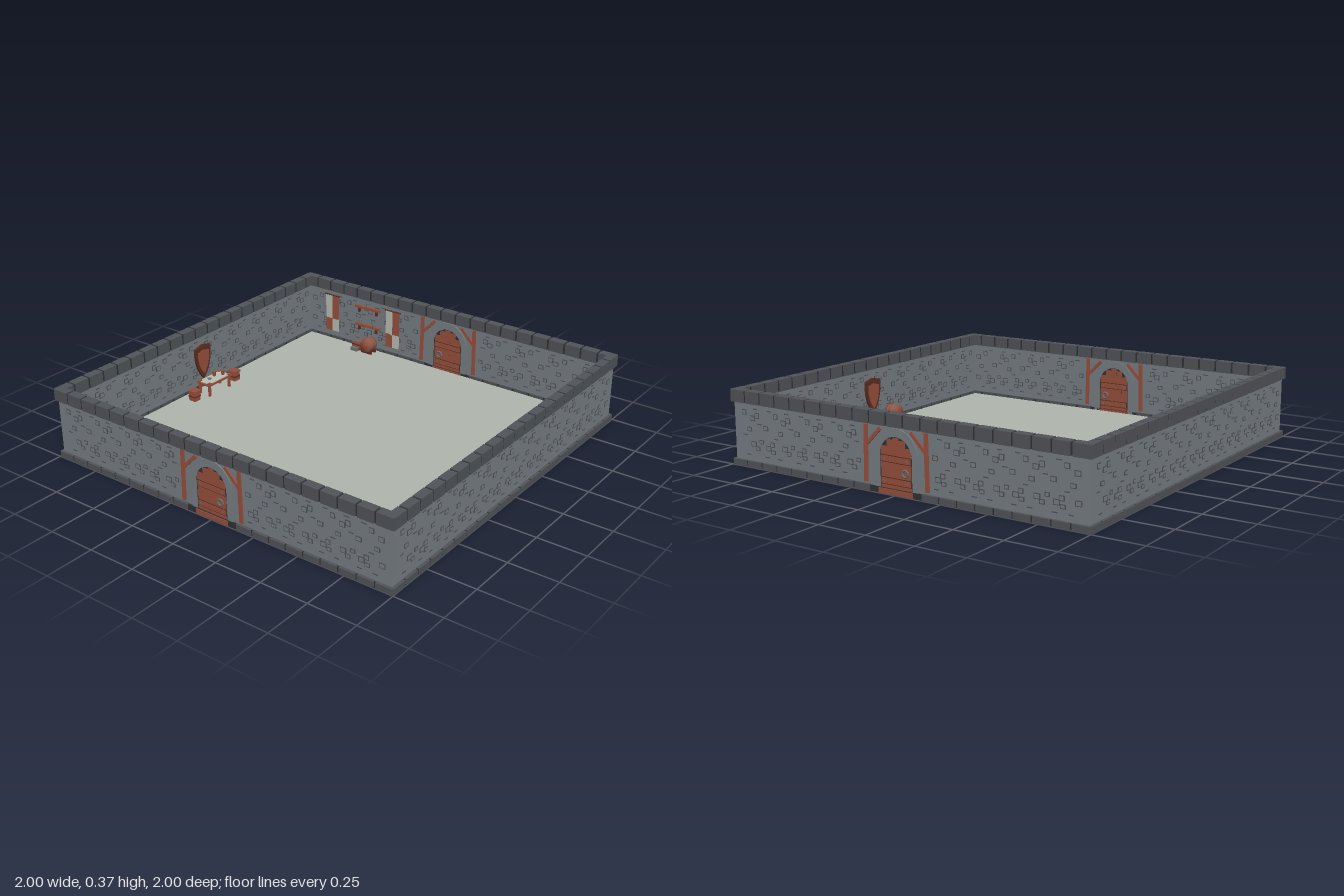
import * as THREE from 'three';
import { mergeGeometries } from 'three/addons/utils/BufferGeometryUtils.js';

const mat = (name, color) => {
  const m = new THREE.MeshStandardMaterial({ color });
  m.name = name;
  return m;
};
const M = {
  wall: mat('wallStone', 0x777e83),
  trim: mat('trimStone', 0x515458),
  joint: mat('darkJoint', 0x2f3235),
  floor: mat('floorStone', 0xb0b7ae),
  wood: mat('redWood', 0x98503c),
  darkWood: mat('darkWood', 0x5c2e22),
  cloth: mat('paleCloth', 0xb9bfb2),
  iron: mat('iron', 0x6a7175),
};

// Box geometry given by its centre, with an optional turn about z
function box(w, h, d, x, y, z, turn = 0) {
  return new THREE.BoxGeometry(w, h, d).rotateZ(turn).translate(x, y, z);
}
// One named mesh from a list of geometries
function part(parent, name, material, geos) {
  const mesh = new THREE.Mesh(geos.length > 1 ? mergeGeometries(geos) : geos[0], material);
  mesh.name = name;
  parent.add(mesh);
  return mesh;
}
function group(parent, name, x = 0, y = 0, z = 0, turn = 0) {
  const g = new THREE.Group();
  g.name = name;
  g.position.set(x, y, z);
  g.rotation.y = turn;
  parent.add(g);
  return g;
}

// Arched outline standing on y = bottom
function archPath(P, half, spring, bottom) {
  const p = new P();
  p.moveTo(-half, bottom);
  p.lineTo(half, bottom);
  p.lineTo(half, spring);
  p.absarc(0, spring, half, 0, Math.PI, false);
  p.lineTo(-half, bottom);
  return p;
}
const extrude = (shape, z0, z1) =>
  new THREE.ExtrudeGeometry(shape, { depth: z1 - z0, bevelEnabled: false, curveSegments: 10 }).translate(0, 0, z0);

// Wall with its outside towards +z
function buildWall(root, name, turn, hasDoor) {
  const g = group(root, name, 0, 0, 0, turn);
  part(g, 'wallBody', M.wall, [box(1.97, 0.34, 0.021, 0, 0.18, 0.9745)]);
  part(g, 'trimJoints', M.joint, [
    box(1.988, 0.055, 0.04, 0, 0.34, 0.9755),
    box(1.988, 0.026, 0.036, 0, 0.014, 0.976),
  ]);
  const blocks = [], count = 21, step = 2 / count;
  for (let i = 0; i < count; i++) {
    const x = -1 + (i + 0.5) * step;
    blocks.push(box(step - 0.011, 0.06, 0.046, x, 0.34, 0.977));
    if (!hasDoor || Math.abs(x) > 0.13) blocks.push(box(step - 0.011, 0.03, 0.043, x, 0.015, 0.9785));
  }
  part(g, 'trimBlocks', M.trim, blocks);

  // Scattered raised bricks: x, y, width, height within each panel
  const pattern = [
    [-0.07, 0.105, 0.032, 0.026], [-0.045, 0.125, 0.026, 0.024], [-0.04, 0.09, 0.026, 0.02],
    [0.035, 0.115, 0.032, 0.026], [0.06, 0.095, 0.026, 0.022], [0.085, 0.13, 0.024, 0.02],
    [-0.085, 0.2, 0.03, 0.024], [-0.02, 0.265, 0.026, 0.026], [0.03, 0.24, 0.03, 0.026],
    [0.06, 0.255, 0.026, 0.028], [0.01, 0.185, 0.028, 0.022],
  ];
  const dashes = [[-0.06, 0.285], [0.0, 0.06], [0.075, 0.215], [-0.02, 0.155], [0.05, 0.285], [-0.08, 0.06]];
  const edges = [], faces = [];
  for (let i = 0; i < 10; i++) {
    const cx = -0.9 + i * 0.2;
    const free = (x) => Math.abs(x) < 0.94 && (!hasDoor || Math.abs(x) > 0.2);
    for (const [z, out] of [[0.985, 1], [0.964, -1]]) {
      for (const [px, y, w, h] of pattern) {
        if (!free(cx + px)) continue;
        edges.push(box(w, h, 0.006, cx + px, y, z));
        faces.push(box(w - 0.008, h - 0.008, 0.006, cx + px, y, z + out * 0.001));
      }
      for (const [px, y] of dashes) if (free(cx + px)) edges.push(box(0.026, 0.005, 0.004, cx + px, y, z));
    }
  }
  part(g, 'brickEdges', M.trim, edges);
  part(g, 'brickFaces', M.wall, faces);
  if (hasDoor) buildDoor(g);
}

// Arched door seen on both faces of the wall
function buildDoor(parent) {
  const g = group(parent, 'door');
  const ring = archPath(THREE.Shape, 0.122, 0.182, 0.0);
  ring.holes.push(archPath(THREE.Path, 0.09, 0.175, 0.003));
  part(g, 'stoneArch', M.wall, [extrude(ring, 0.958, 0.99)]);
  part(g, 'doorRecess', M.joint, [extrude(archPath(THREE.Shape, 0.09, 0.175, 0.002), 0.962, 0.9865)]);
  const planks = [], bars = [], shadows = [], studs = [];
  for (let i = -2; i <= 2; i++) {
    const top = 0.175 + Math.sqrt(0.09 ** 2 - (Math.abs(i) * 0.034 + 0.008) ** 2) - 0.004;
    planks.push(box(0.033, top - 0.01, 0.0275, i * 0.034, top / 2 + 0.005, 0.9745));
  }
  for (const y of [0.06, 0.162]) {
    bars.push(box(0.164, 0.026, 0.034, 0, y, 0.9745));
    shadows.push(box(0.17, 0.034, 0.03, 0, y, 0.9745));
    for (const x of [-0.065, 0.065]) studs.push(box(0.008, 0.008, 0.036, x, y, 0.9745));
  }
  bars.push(box(0.19, 0.024, 0.042, 0, 0.013, 0.9775));
  for (const s of [-1, 1]) {
    bars.push(box(0.02, 0.265, 0.036, s * 0.17, 0.172, 0.9745, s * 0.02));
    bars.push(box(0.115, 0.016, 0.034, s * 0.125, 0.255, 0.9745, -s * 0.8));
  }
  part(g, 'planks', M.wood, planks);
  part(g, 'barEdges', M.darkWood, shadows);
  part(g, 'barsAndPosts', M.wood, bars);
  part(g, 'studs', M.iron, studs);
  part(g, 'handles', M.iron, [0.99, 0.959].map((z) =>
    new THREE.TorusGeometry(0.016, 0.005, 6, 12).translate(0.052, 0.105, z)));
}

// Octagon tiles with small diamonds between, over a slab
function buildFloor(root) {
  const g = group(root, 'floor');
  part(g, 'slab', M.floor, [box(1.96, 0.011, 1.96, 0, 0.0075, 0)]);
  const nx = 18, nz = 17, sx = 1.92 / nx, sz = 1.92 / nz, tiles = [], strips = [];
  for (let i = 0; i <= nx; i++) for (let j = 0; j <= nz; j++) {
    const x = -0.96 + i * sx, z = -0.96 + j * sz;
    tiles.push(new THREE.CircleGeometry(0.275, 4).rotateX(-Math.PI / 2).scale(sx, 1, sz).translate(x, 0.0145, z));
    if (i < nx && j < nz) tiles.push(new THREE.CircleGeometry(0.523, 8, Math.PI / 8).rotateX(-Math.PI / 2)
      .scale(sx, 1, sz).translate(x + sx / 2, 0.0145, z + sz / 2));
  }
  part(g, 'tiles', M.floor, tiles);
  for (let i = -4; i <= 4; i++) {
    strips.push(box(0.014, 0.003, 1.95, i * 0.2, 0.0015, 0), box(1.95, 0.003, 0.014, 0, 0.0015, i * 0.2));
  }
  part(g, 'undersideStrips', M.floor, strips);
}

// Barrel lying on a cradle, its end towards +z
function buildBarrel(parent, x, z, turn) {
  const g = group(parent, 'barrel', x, 0.014, z, turn);
  const profile = [[0, -0.04], [0.034, -0.04], [0.041, -0.018], [0.043, 0], [0.041, 0.018], [0.034, 0.04], [0, 0.04]];
  part(g, 'staves', M.wood, [new THREE.LatheGeometry(profile.map((p) => new THREE.Vector2(...p)), 14)
    .rotateX(Math.PI / 2).translate(0, 0.05, 0)]);
  part(g, 'hoops', M.iron, [-0.033, -0.014, 0.014, 0.033].map((d) => {
    const r = 0.0445 - Math.abs(d) * 0.2;
    return new THREE.CylinderGeometry(r, r, 0.004, 14).rotateX(Math.PI / 2).translate(0, 0.05, d);
  }));
  part(g, 'cradle', M.darkWood, [-0.02, 0.02].map((d) => box(0.07, 0.02, 0.01, 0, 0.01, d)));
}

// Crate with tools beside a barrel
function buildStores(root, x) {
  const g = group(root, 'stores', x, 0, -0.912);
  buildBarrel(g, 0.035, 0, 0);
  part(g, 'crate', M.wood, [box(0.058, 0.045, 0.055, -0.042, 0.037, -0.012)]);
  part(g, 'crateSlats', M.darkWood, [0.026, 0.048].map((y) => box(0.062, 0.006, 0.059, -0.042, y, -0.012)));
  part(g, 'tools', M.iron, [
    box(0.045, 0.01, 0.012, -0.037, 0.064, 0.004),
    box(0.045, 0.02, 0.02, -0.045, 0.024, 0.028),
  ]);
}

// Narrow shelves hung close to the back wall
function buildShelves(root, x) {
  const g = group(root, 'wallShelves', x, 0, -0.95);
  const heights = [0.155, 0.265];
  part(g, 'shelfBoards', M.wood, heights.map((y) => box(0.17, 0.014, 0.016, 0, y, 0)));
  part(g, 'shelfBrackets', M.darkWood, heights.flatMap((y) =>
    [-0.06, 0.06].map((d) => box(0.012, 0.03, 0.012, d, y - 0.018, -0.002))));
  part(g, 'shelfPots', M.iron, [-0.05, 0, 0.045].map((d, i) =>
    new THREE.CylinderGeometry(0.006, 0.008, 0.024, 8).translate(d, 0.174 + (i % 2) * 0.11, 0)));
}

// Hanging banner in pale and red quarters
function buildBanner(root, x) {
  const g = group(root, 'banner', x, 0, -0.905);
  part(g, 'rod', M.darkWood, [new THREE.CylinderGeometry(0.004, 0.004, 0.11, 8).rotateZ(Math.PI / 2).translate(0, 0.31, 0)]);
  part(g, 'paleQuarters', M.cloth, [box(0.045, 0.14, 0.003, -0.0225, 0.235, 0), box(0.045, 0.08, 0.003, 0.0225, 0.13, 0)]);
  part(g, 'redQuarters', M.wood, [box(0.045, 0.14, 0.003, 0.0225, 0.235, 0), box(0.045, 0.08, 0.003, -0.0225, 0.13, 0)]);
}

// Pointed wooden wall shield facing +z
function buildShield(root, x, turn) {
  const g = group(root, 'wallShield', x, 0, 0, turn);
  const shield = (k) => {
    const s = new THREE.Shape();
    s.moveTo(0, 0.165 - 0.1 * k);
    s.quadraticCurveTo(0.065 * k, 0.165 - 0.03 * k, 0.06 * k, 0.165 + 0.085 * k);
    s.lineTo(0, 0.165 + 0.1 * k);
    s.lineTo(-0.06 * k, 0.165 + 0.085 * k);
    s.quadraticCurveTo(-0.065 * k, 0.165 - 0.03 * k, 0, 0.165 - 0.1 * k);
    return s;
  };
  part(g, 'shieldRim', M.darkWood, [extrude(shield(1), -0.008, 0.004)]);
  part(g, 'shieldFace', M.wood, [extrude(shield(0.7), 0.004, 0.008)]);
}

// Table with cloth and cups, and a planked box stool at each end
function buildTable(root) {
  const g = group(root, 'tableSet', -0.88, 0, -0.005);
  const wood = [box(0.088, 0.01, 0.18, 0, 0.079, 0)];
  for (const x of [-0.034, 0.034]) for (const z of [-0.078, 0.078]) {
    wood.push(box(0.012, 0.074, 0.012, x, 0.038, z), box(0.016, 0.008, 0.02, x, 0.086, z));
  }
  part(g, 'table', M.wood, wood);
  part(g, 'tableCloth', M.cloth, [box(0.076, 0.003, 0.165, 0, 0.0855, 0)]);
  part(g, 'plates', M.iron, [new THREE.CylinderGeometry(0.012, 0.009, 0.005, 10).translate(-0.008, 0.089, 0.03)]);
  part(g, 'cups', M.wood, [[0.012, -0.055], [-0.015, -0.015]].map(([x, z]) =>
    new THREE.CylinderGeometry(0.01, 0.008, 0.026, 8).translate(x, 0.1, z)));
  for (const s of [-1, 1]) {
    const stool = group(g, 'stool', 0, 0, s * 0.16);
    part(stool, 'stoolSeat', M.wood, [-0.016, 0, 0.016].map((z) => box(0.052, 0.01, 0.0145, 0, 0.068, z)));
    part(stool, 'stoolBody', M.wood, [box(0.044, 0.048, 0.042, 0, 0.039, 0)]);
    part(stool, 'stoolBand', M.darkWood, [box(0.047, 0.007, 0.045, 0, 0.04, 0)]);
  }
}

export function createModel() {
  const root = new THREE.Group();
  root.name = 'stoneRoom';
  buildFloor(root);
  ['frontWall', 'leftWall', 'backWall', 'rightWall'].forEach((name, i) =>
    buildWall(root, name, i * Math.PI / 2, i % 2 === 0));
  for (const x of [-0.54, 0.81]) buildStores(root, x);
  buildShelves(root, -0.54);
  for (const x of [-0.76, -0.335]) buildBanner(root, x);
  buildTable(root);
  buildShield(root, -0.953, Math.PI / 2);
  buildShield(root, 0.953, -Math.PI / 2);
  for (const z of [-0.125, 0.115]) buildBarrel(root, 0.905, z, -Math.PI / 2);
  return root;
}
